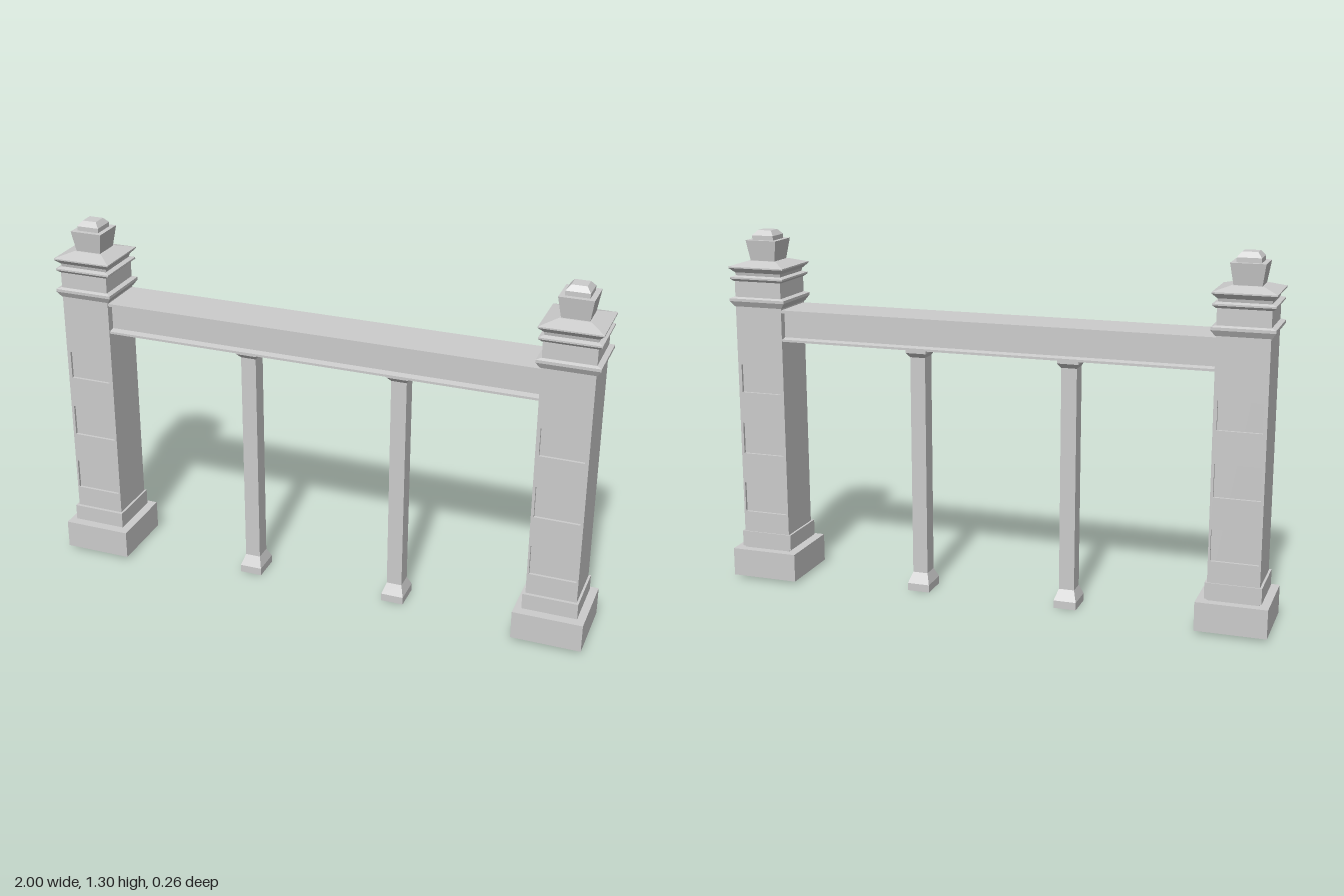
import * as THREE from 'three';

const material = new THREE.MeshStandardMaterial({ color: 0xcccccc, flatShading: true });

function add(parent, name, geometry, x = 0, y = 0, z = 0) {
  const mesh = new THREE.Mesh(geometry, material);
  mesh.name = name;
  mesh.position.set(x, y, z);
  parent.add(mesh);
  return mesh;
}

// Box given by half sizes and its bottom and top heights
function block(parent, name, hx, hz, y0, y1, z = 0) {
  return add(parent, name, new THREE.BoxGeometry(2 * hx, y1 - y0, 2 * hz), 0, (y0 + y1) / 2, z);
}

// Closed rectangular loft through rings [y, halfX, halfZ], bottom to top
function loft(rings) {
  const positions = [];
  const index = [];
  for (const [y, hx, hz = hx] of rings) {
    positions.push(-hx, y, hz, hx, y, hz, hx, y, -hz, -hx, y, -hz);
  }
  for (let r = 0; r < rings.length - 1; r++) {
    for (let i = 0; i < 4; i++) {
      const a = r * 4 + i, b = r * 4 + (i + 1) % 4;
      index.push(a, b, b + 4, a, b + 4, a + 4);
    }
  }
  const t = (rings.length - 1) * 4;
  index.push(0, 2, 1, 0, 3, 2, t, t + 1, t + 2, t, t + 2, t + 3);
  const indexed = new THREE.BufferGeometry();
  indexed.setAttribute('position', new THREE.Float32BufferAttribute(positions, 3));
  indexed.setIndex(index);
  const geometry = indexed.toNonIndexed();
  geometry.computeVertexNormals();
  return geometry;
}

function polygon(points, Type = THREE.Shape) {
  return new Type(points.map(([x, y]) => new THREE.Vector2(x, y)));
}

// Thin shaft facing with three sunken panels cut through it
function panelFace(hx, y0, y1, depth) {
  const shape = polygon([[-hx, y0], [hx, y0], [hx, y1], [-hx, y1]]);
  for (const [b, t, w] of [[0.255, 0.367, 0.083], [0.48, 0.596, 0.08], [0.712, 0.815, 0.077]]) {
    shape.holes.push(polygon([[-w, b], [-w, t], [w, t], [w, b]], THREE.Path));
  }
  return new THREE.ExtrudeGeometry(shape, { depth, bevelEnabled: false });
}

function createPillar() {
  const pillar = new THREE.Group();
  const z = -0.004;
  const hx = 0.09, hz = 0.0945, recess = 0.01;

  // Stepped base
  block(pillar, 'pillarBase', 0.125, 0.13, 0.01, 0.114);
  block(pillar, 'pillarPlinth', 0.098, 0.103, 0.12, 0.178);

  // Shaft core with panelled front and back
  block(pillar, 'pillarShaft', hx, hz - recess, 0.11, 1.14, z);
  add(pillar, 'frontPanelFace', panelFace(hx, 0.11, 1.14, recess), 0, 0, z + hz - recess);
  add(pillar, 'backPanelFace', panelFace(hx, 0.11, 1.14, recess), 0, 0, z - hz);

  // Mouldings and sloping cap
  add(pillar, 'collar', loft([[1.03, 0.093, 0.096], [1.05, 0.107], [1.06, 0.107], [1.065, 0.092, 0.096]]), 0, 0, z);
  add(pillar, 'capMoulding', loft([[1.122, 0.093, 0.096], [1.131, 0.104], [1.137, 0.104], [1.142, 0.088]]), 0, 0, z);
  add(pillar, 'cap', loft([[1.14, 0.087], [1.153, 0.09], [1.17, 0.107], [1.175, 0.107], [1.192, 0.053]]), 0, 0, z);

  // Flared finial with a small stepped top
  add(pillar, 'finial', loft([[1.19, 0.047], [1.266, 0.059]]), 0, 0, z);
  add(pillar, 'finialTop', loft([[1.264, 0.041], [1.282, 0.041], [1.3, 0.026]]), 0, 0, z);
  return pillar;
}

function createColumn() {
  return loft([
    [0, 0.041, 0.053], [0.028, 0.041, 0.053], [0.066, 0.028, 0.031],
    [0.872, 0.028, 0.031], [0.89, 0.038, 0.05], [0.912, 0.038, 0.05],
  ]);
}

// Beam section with thin flanges above and below a recessed web
function createBeam() {
  const right = [[0.091, 0.91], [0.091, 0.918], [0.066, 0.922], [0.066, 1.01], [0.091, 1.014], [0.091, 1.024]];
  const left = right.map(([x, y]) => [-x, y]).reverse();
  const length = 1.572;
  const geometry = new THREE.ExtrudeGeometry(polygon([...right, ...left]), { depth: length, bevelEnabled: false });
  geometry.translate(0, 0, -length / 2);
  geometry.rotateY(Math.PI / 2);
  return geometry;
}

export function createModel() {
  const model = new THREE.Group();
  model.name = 'gateway';

  for (const [name, x] of [['leftPillar', 0.875], ['rightPillar', -0.875]]) {
    const pillar = createPillar();
    pillar.name = name;
    pillar.position.x = x;
    model.add(pillar);
  }

  add(model, 'beam', createBeam(), 0, 0, -0.005);

  // Slender supports under the beam
  const column = createColumn();
  add(model, 'leftColumn', column, 0.288);
  add(model, 'rightColumn', column, -0.27);
  return model;
}
